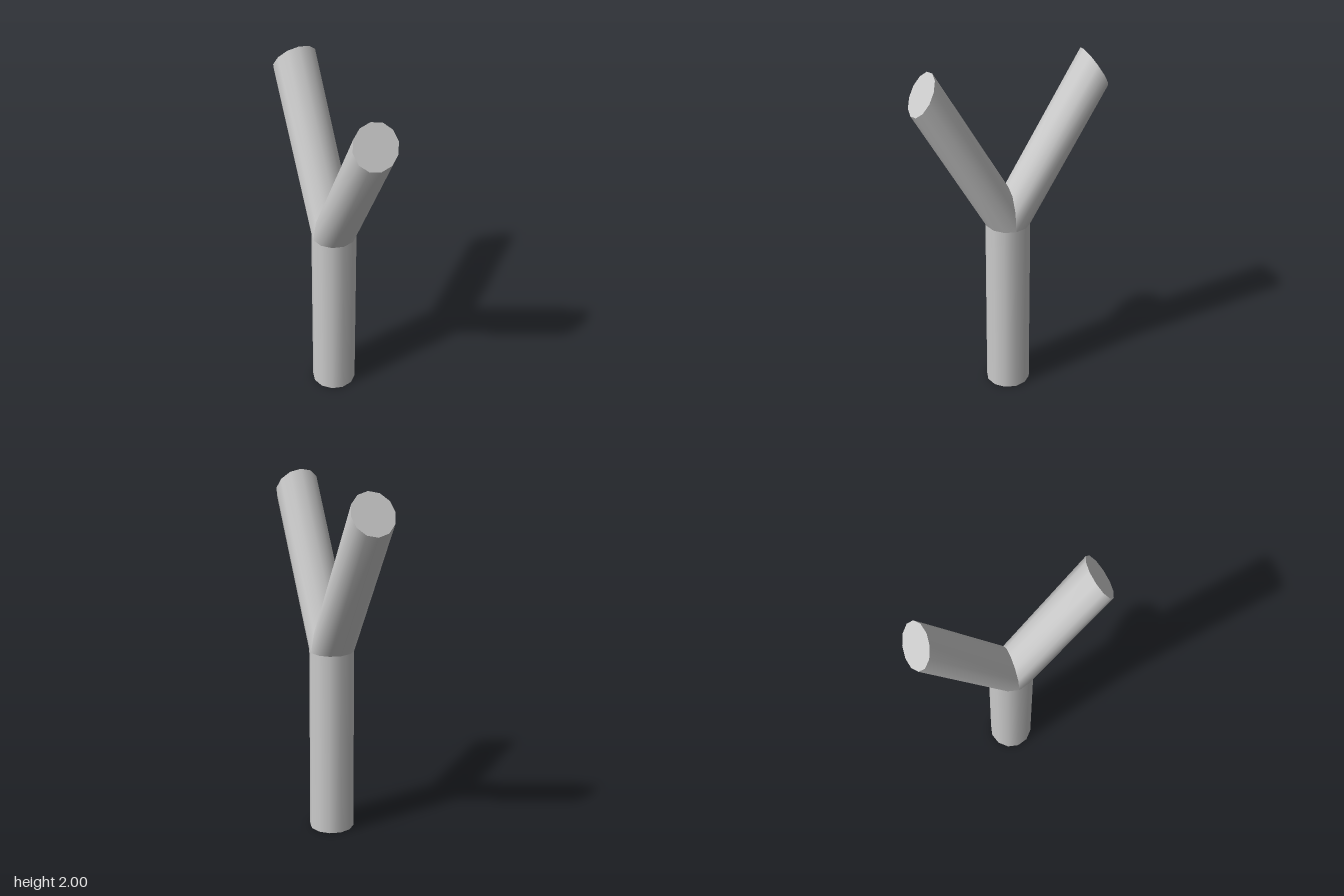
import * as THREE from 'three';
import { toCreasedNormals } from 'three/addons/utils/BufferGeometryUtils.js';

const RADIUS = 0.125;
const SIDES = 12;
const FORK_Y = 1.05; // height where the arms leave the stem
const STEM_Z = 0.0125;

const material = new THREE.MeshStandardMaterial({ color: 0xcccccc });

// Arm: the stem's ring swept obliquely to a tilted ring; side is +1 (front) or -1 (back)
function armGeometry(side) {
  const geometry = new THREE.CylinderGeometry(RADIUS, RADIUS, 1, SIDES);
  const p = geometry.attributes.position;
  for (let i = 0; i < p.count; i++) {
    const z = p.getZ(i);
    if (p.getY(i) > 0) {
      const outward = (side * z) / RADIUS;
      p.setY(i, 1.8925 - 0.1075 * outward);
      p.setZ(i, side * (0.4825 + 0.0625 * outward));
    } else {
      p.setY(i, FORK_Y);
      p.setZ(i, z + STEM_Z);
    }
  }
  return toCreasedNormals(geometry, 0.8);
}

export function createModel() {
  const group = new THREE.Group();
  group.name = 'forkedPost';

  // Upright stem
  const stem = new THREE.Mesh(
    new THREE.CylinderGeometry(RADIUS, RADIUS, FORK_Y, SIDES), material);
  stem.name = 'stem';
  stem.position.set(0, FORK_Y / 2, STEM_Z);
  group.add(stem);

  // Two arms, crossing at the fork
  for (const side of [1, -1]) {
    const arm = new THREE.Mesh(armGeometry(side), material);
    arm.name = side > 0 ? 'frontArm' : 'backArm';
    group.add(arm);
  }
  return group;
}
